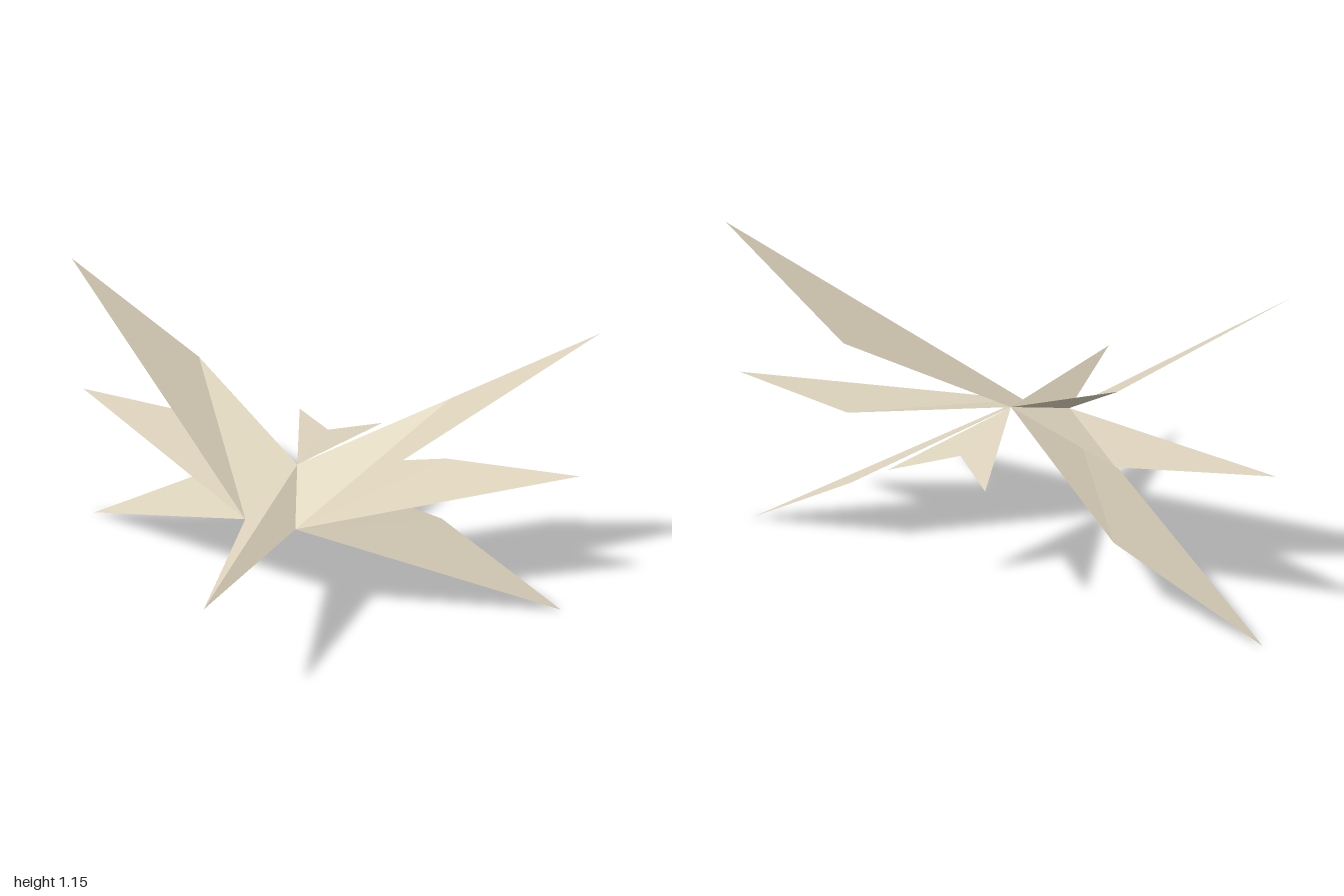
import * as THREE from 'three';

const bone = new THREE.MeshStandardMaterial({ color: 0xe0d6bf });
bone.name = 'bone';
bone.flatShading = true;
bone.side = THREE.DoubleSide;

// Shared joints of the folded bird, on its left (+x) side
const nose = [0, 0.505, 0.695];
const back = [0, 0.56, -0.18];
const shoulder = [0.095, 0.468, 0.103];

// Flat facets from corner triples; side = -1 mirrors them across x
function facets(name, triangles, side) {
  const positions = [];
  for (const triangle of triangles) {
    const corners = side < 0 ? [...triangle].reverse() : triangle;
    for (const [x, y, z] of corners) positions.push(x * side, y, z);
  }
  const geometry = new THREE.BufferGeometry();
  geometry.setAttribute('position', new THREE.Float32BufferAttribute(positions, 3));
  geometry.computeVertexNormals();
  const mesh = new THREE.Mesh(geometry, bone);
  mesh.name = name;
  return mesh;
}

export function createModel() {
  const model = new THREE.Group();
  model.name = 'foldedBird';

  // Three wing poses: height of the bend and of the tip
  const poses = [
    ['Raised', 0.8, 1.155],
    ['Level', 0.545, 0.597],
    ['Lowered', 0.277, 0.003],
  ];

  for (const side of [1, -1]) {
    const prefix = side > 0 ? 'left' : 'right';

    // Half of the ridged body, open below
    model.add(facets(prefix + 'Body', [[nose, shoulder, back]], side));

    // Half of the forked tail
    const fork = [0.177, 0.505, -0.703];
    const notch = [0, 0.523, -0.54];
    model.add(facets(prefix + 'Tail', [[back, fork, notch]], side));

    // Wings, each folded between shoulder and bend
    for (const [pose, bendY, tipY] of poses) {
      const bend = [0.502, bendY, -0.442];
      const tip = [1, tipY, -0.394];
      model.add(facets(prefix + pose + 'Wing', [
        [shoulder, bend, back],
        [shoulder, tip, bend],
      ], side));
    }
  }
  return model;
}
